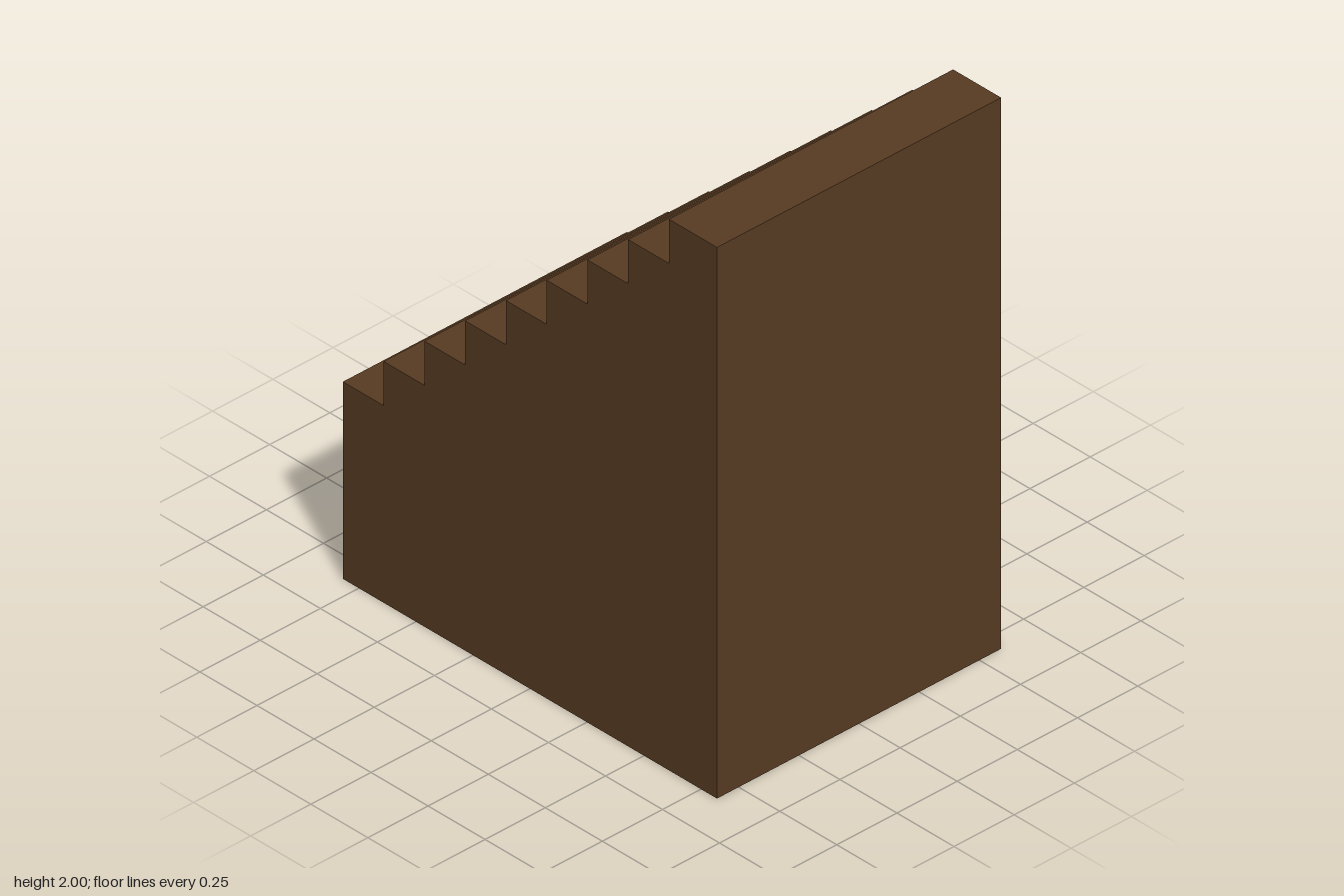
import * as THREE from 'three';

const WIDTH = 1.18, HALF_DEPTH = 0.82, HEIGHT = 2;
const STEPS = 9, RISE = 0.1606, RUN = 0.1787;

export function createModel() {
  const group = new THREE.Group();
  group.name = 'staircase';
  const brownWood = new THREE.MeshStandardMaterial({ color: 0x573a22 });
  brownWood.name = 'brownWood';

  // Side profile: the stairs descend from the tall front to the back
  const profile = new THREE.Shape();
  profile.moveTo(-HALF_DEPTH, 0);
  profile.lineTo(HALF_DEPTH, 0);
  for (let i = STEPS - 1; i >= 0; i--) {
    const y = HEIGHT - i * RISE;
    const outer = HALF_DEPTH - (STEPS - 1 - i) * RUN;
    const inner = i === 0 ? -HALF_DEPTH : outer - RUN;
    profile.lineTo(outer, y);
    profile.lineTo(inner, y);
  }
  profile.closePath();

  // Solid block of steps, extruded across the width
  const geometry = new THREE.ExtrudeGeometry(profile, { depth: WIDTH, bevelEnabled: false });
  geometry.translate(0, 0, -WIDTH / 2);
  geometry.rotateY(Math.PI / 2);
  const stairs = new THREE.Mesh(geometry, brownWood);
  stairs.name = 'stairBlock';
  group.add(stairs);
  return group;
}
